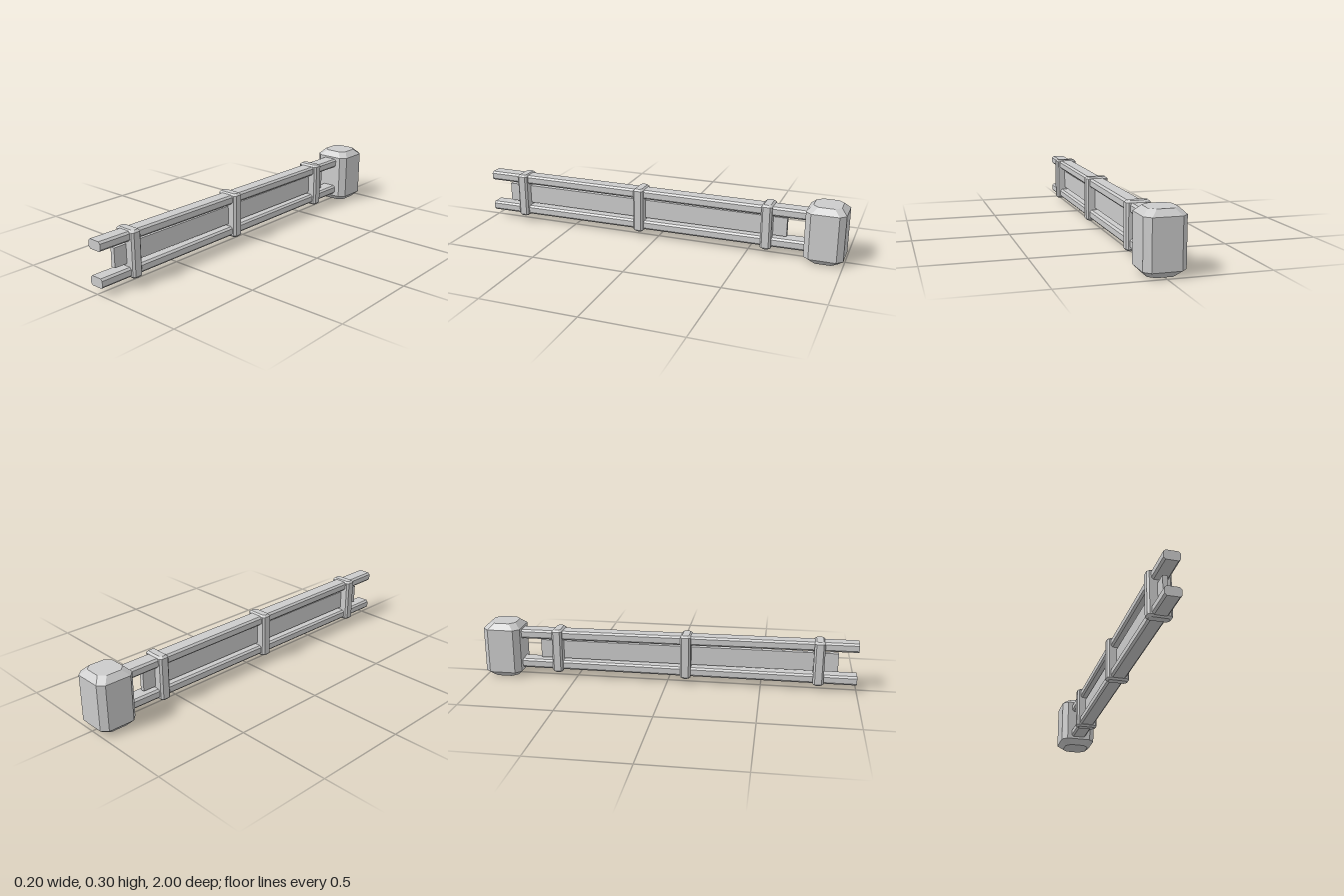
import * as THREE from 'three';
import { ConvexGeometry } from 'three/addons/geometries/ConvexGeometry.js';

const material = new THREE.MeshStandardMaterial({ color: 0xcccccc, flatShading: true });

// Corners of a rectangle with cut corners, given its half sizes
function octagon(a, b, cut) {
  const corners = [];
  for (const s of [-1, 1]) {
    for (const t of [-1, 1]) corners.push([s * a, t * (b - cut)], [s * (a - cut), t * b]);
  }
  return corners;
}

// Upright block with cut vertical edges and bevelled top and bottom
function bevelledBlock(a, b, bottom, top, cut) {
  const points = [];
  const ring = (y, inset) => octagon(a - inset, b - inset, cut)
    .forEach(([x, z]) => points.push(new THREE.Vector3(x, y, z)));
  ring(bottom, cut);
  ring(bottom + cut, 0);
  ring(top - cut, 0);
  ring(top, cut);
  return new ConvexGeometry(points);
}

// Long bar along z, slightly thicker and nearer the middle at the post
function railGeometry(frontY, backY) {
  const points = [];
  const ring = (z, y, a, b) => octagon(a, b, 0.01)
    .forEach(([x, dy]) => points.push(new THREE.Vector3(x, y + dy, z)));
  ring(1, frontY, 0.04, 0.0245);
  ring(-0.85, backY, 0.043, 0.025);
  return new ConvexGeometry(points);
}

export function createModel() {
  const model = new THREE.Group();
  model.name = 'fenceSection';
  const add = (name, geometry, x = 0, y = 0, z = 0) => {
    const mesh = new THREE.Mesh(geometry, material);
    mesh.name = name;
    mesh.position.set(x, y, z);
    model.add(mesh);
  };

  // End post
  add('post', bevelledBlock(0.1, 0.1, 0, 0.3, 0.03), 0, 0, -0.9);

  // Two rails
  add('upperRail', railGeometry(0.2415, 0.235));
  add('lowerRail', railGeometry(0.0615, 0.069));

  // Thin panel between the rails
  add('panel', new THREE.BoxGeometry(0.024, 0.1, 1.6), 0, 0.15, 0.1);

  // Uprights binding the rails together
  const upright = bevelledBlock(0.06, 0.028, 0.03, 0.271, 0.01);
  for (const z of [0.8, 0.1, -0.6]) add('upright', upright, 0, 0, z);

  return model;
}
